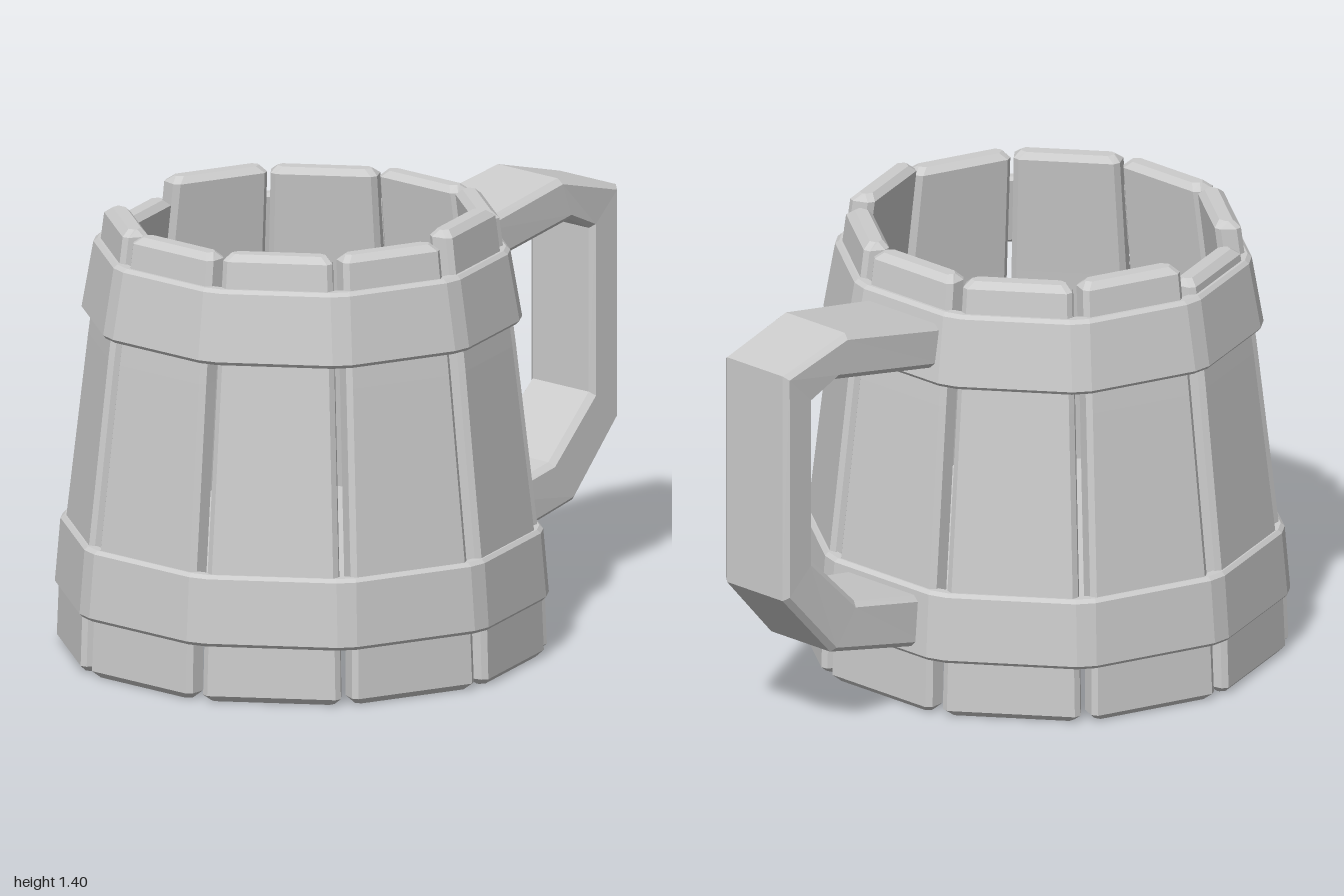
import * as THREE from 'three';

const SIDES = 10;
const STEP = (Math.PI * 2) / SIDES;
const TAN = Math.tan(STEP / 2);
const material = new THREE.MeshStandardMaterial({ color: 0xcccccc, flatShading: true });
const V = (x, y, z) => new THREE.Vector3(x, y, z);

// Cut the four corners of a cross-section, giving eight points
function bevel(corners, b) {
  const toward = (p, q) => p.clone().add(q.clone().sub(p).setLength(b));
  return corners.flatMap((p, i) => [toward(p, corners[(i + 3) % 4]), toward(p, corners[(i + 1) % 4])]);
}

// Skin a series of cross-sections, either capped or joined into a hoop
function loft(rings, closed = false) {
  const n = rings[0].length, m = rings.length, index = [];
  const id = (i, j) => (i % m) * n + (j % n);
  for (let i = 0; i < (closed ? m : m - 1); i++) {
    for (let j = 0; j < n; j++) {
      const a = id(i, j), b = id(i, j + 1), c = id(i + 1, j + 1), d = id(i + 1, j);
      index.push(a, b, c, a, c, d);
    }
  }
  if (!closed) {
    for (let j = 1; j < n - 1; j++) {
      index.push(id(0, 0), id(0, j + 1), id(0, j));
      index.push(id(m - 1, 0), id(m - 1, j), id(m - 1, j + 1));
    }
  }
  const geometry = new THREE.BufferGeometry().setFromPoints(rings.flat());
  geometry.setIndex(index);
  const flat = geometry.toNonIndexed();
  flat.computeVertexNormals();
  return flat;
}

function part(name, geometry, parent) {
  const mesh = new THREE.Mesh(geometry, material);
  mesh.name = name;
  parent.add(mesh);
  return mesh;
}

// Stave outline: height, outer distance from the axis, outer half width
const OUTLINE = [[0, 0.722, 0.213], [0.2, 0.715, 0.209], [0.97, 0.63, 0.182], [1.4, 0.577, 0.167]];

function outlineAt(y) {
  let k = 0;
  while (k < OUTLINE.length - 2 && y > OUTLINE[k + 1][0]) k++;
  const [a, b] = [OUTLINE[k], OUTLINE[k + 1]];
  const t = (y - a[0]) / (b[0] - a[0]);
  return [a[1] + (b[1] - a[1]) * t, a[2] + (b[2] - a[2]) * t];
}

// Plank with nearly parallel sides, so the inner edges almost meet
function staveGeometry(height) {
  const edge = 0.02, thick = 0.08;
  const section = (y, inset) => {
    const [r, w] = outlineAt(y);
    const xo = r - inset, xi = r - thick + inset;
    const zo = w - inset, zi = zo - 0.007;
    return bevel([V(xi, y, -zi), V(xi, y, zi), V(xo, y, zo), V(xo, y, -zo)], 0.016);
  };
  return loft([
    section(0, edge), section(edge, 0), section(0.2, 0), section(0.97, 0),
    section(height - edge, 0), section(height, edge),
  ]);
}

// Ten-sided hoop with clipped corners, leaning in with the staves
function bandGeometry(y0, r0, y1, r1) {
  const thick = 0.045, clip = 0.032, rings = [];
  for (let k = 0; k < SIDES; k++) {
    for (const s of [1, -1]) {
      const point = (r, y) =>
        V(r, y, s * (r * TAN - clip)).applyAxisAngle(V(0, 1, 0), k * STEP);
      rings.push(bevel([point(r0 - thick, y0), point(r1 - thick, y1), point(r1, y1), point(r0, y0)], 0.011));
    }
  }
  return loft(rings, true);
}

// Handle stations: outer point, inner point, half width
const HANDLE = [
  [0.62, 1.228, 0.62, 1.086, 0.157],
  [1.0, 1.3, 1.05, 1.163, 0.142],
  [1.266, 1.23, 1.146, 1.115, 0.135],
  [1.266, 0.497, 1.146, 0.6, 0.135],
  [1.065, 0.278, 0.96, 0.415, 0.142],
  [0.69, 0.197, 0.69, 0.364, 0.157],
];

function handleGeometry() {
  return loft(HANDLE.map(([xo, yo, xi, yi, w]) =>
    bevel([V(xi, yi, -w), V(xo, yo, -w), V(xo, yo, w), V(xi, yi, w)], 0.018)));
}

export function createModel() {
  const model = new THREE.Group();
  model.name = 'woodenMug';
  const body = new THREE.Group();
  body.name = 'body';
  body.position.z = 0.243;
  model.add(body);

  // Staves of slightly uneven height
  const staves = new THREE.Group();
  staves.name = 'staves';
  body.add(staves);
  const heights = [1.4, 1.375, 1.37, 1.365, 1.37, 1.31, 1.37, 1.365, 1.37, 1.372];
  heights.forEach((h, i) => {
    part('stave', staveGeometry(h), staves).rotation.y = i * STEP;
  });

  // Hoops around the staves
  part('lowerBand', bandGeometry(0.175, 0.727, 0.395, 0.709), body);
  part('upperBand', bandGeometry(1.04, 0.65, 1.268, 0.612), body);

  // Raised floor
  const floor = part('floor', new THREE.CylinderGeometry(0.67, 0.67, 0.04, SIDES), body);
  floor.position.y = 0.32;

  // Handle on the stave behind and to the left
  part('handle', handleGeometry(), body).rotation.y = 2 * STEP;

  return model;
}
